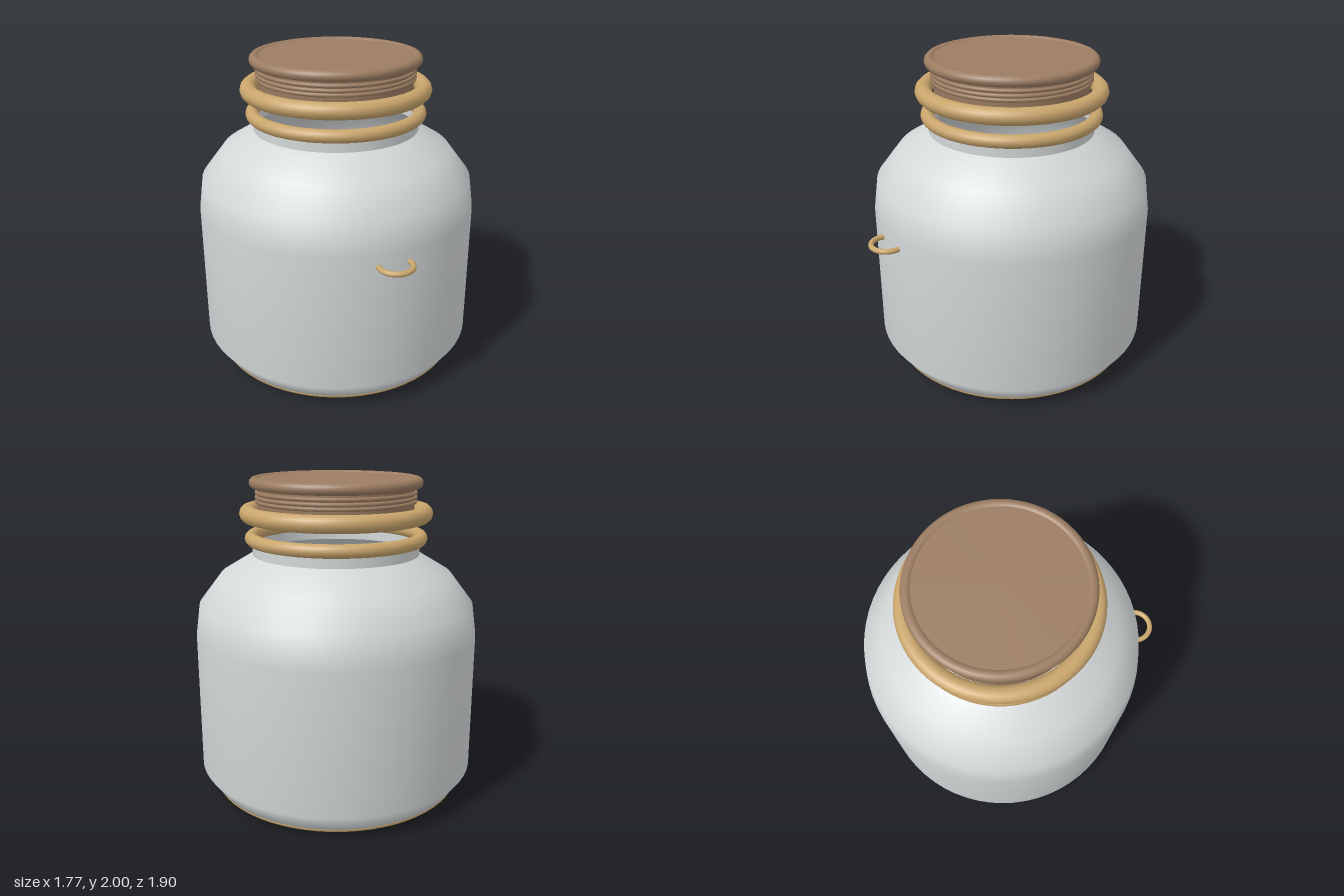
import * as THREE from 'three';

const SEG = 64;

export function createModel() {
  const model = new THREE.Group();
  model.name = 'jar';

  const glass = new THREE.MeshStandardMaterial({ color: 0xd3d7d8, side: THREE.DoubleSide });
  glass.name = 'pale grey glass';
  const gold = new THREE.MeshStandardMaterial({ color: 0xc9a56c });
  gold.name = 'golden tan';
  const brown = new THREE.MeshStandardMaterial({ color: 0x9c7d62 });
  brown.name = 'cork brown';

  // The jar sits slightly back so that the front loop fits the overall depth
  const jar = new THREE.Group();
  jar.name = 'jarAssembly';
  jar.position.z = -0.066;
  model.add(jar);

  const add = (name, geometry, material) => {
    const mesh = new THREE.Mesh(geometry, material);
    mesh.name = name;
    jar.add(mesh);
    return mesh;
  };
  const lathe = (name, points, material) =>
    add(name, new THREE.LatheGeometry(points.map(([r, y]) => new THREE.Vector2(r, y)), SEG), material);
  const ring = (name, radius, tube, y, material, sides = 12) => {
    const geometry = new THREE.TorusGeometry(radius, tube, sides, SEG);
    geometry.rotateX(Math.PI / 2);
    const mesh = add(name, geometry, material);
    mesh.position.y = y;
    return mesh;
  };

  // Body: flat base, rounded wall and straight open neck
  lathe('base', [[0, 0], [0.66, 0]], glass);
  lathe('body', [
    [0.66, 0], [0.80, 0.05], [0.885, 0.17], [0.885, 1.04],
    [0.858, 1.23], [0.72, 1.41], [0.52, 1.53],
  ], glass);
  lathe('neck', [[0.52, 1.53], [0.52, 1.63]], glass);

  // Trim rings
  ring('baseRing', 0.78, 0.021, 0.048, gold);
  ring('neckRing', 0.525, 0.041, 1.63, gold);
  ring('lidCollar', 0.543, 0.052, 1.782, gold);

  // Floating lid: plug, threads and rolled top rim
  lathe('lidBottom', [[0, 1.725], [0.45, 1.725]], brown);
  lathe('lidPlug', [[0.45, 1.725], [0.48, 1.75], [0.48, 1.99]], brown);
  lathe('lidTop', [[0.48, 1.99], [0, 1.99]], brown);
  [1.855, 1.88, 1.908].forEach((y, i) => ring(`thread${i + 1}`, 0.486, 0.012, y, brown, 8));
  ring('lidRim', 0.497, 0.034, 1.966, brown);

  // Small horizontal loop on the front wall
  const loop = ring('frontLoop', 0.099, 0.017, 0.97, gold);
  loop.position.z = 0.9;

  return model;
}
